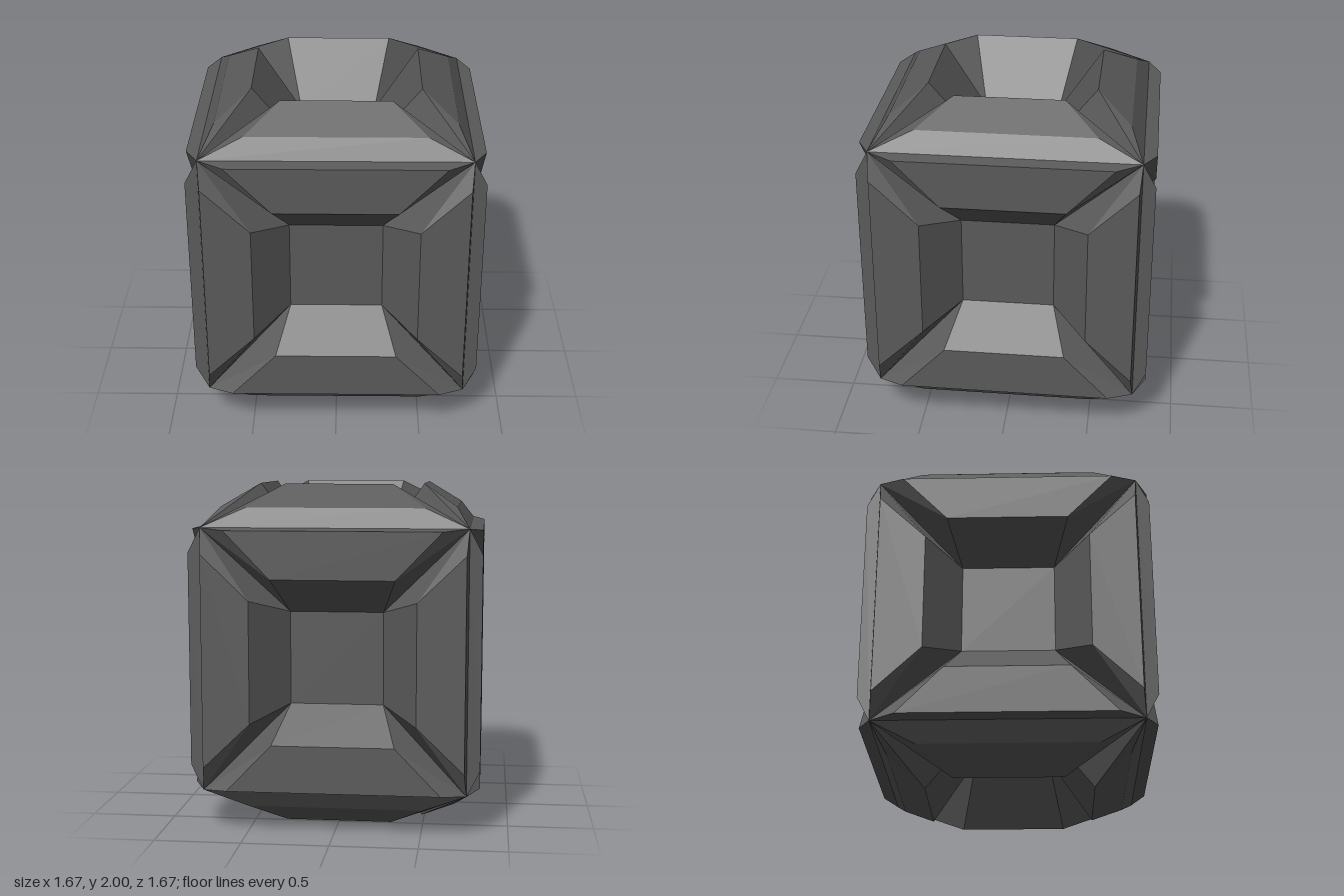
import * as THREE from 'three';

const CORNER = 0.76; // half size of the cube the frames are built on

// Frame profile per face: [half length, offset from face centre, height]
const SIDE = { rim: [0.615, 0.747, 0.835], lip: [0.352, 0.474, 0.835], floor: [0.27, 0.27, 0.593] };
const CAP = { rim: [0.51, 0.685, 0.87], lip: [0.312, 0.485, 1.0], floor: [0.225, 0.225, 0.64] };

const material = new THREE.MeshStandardMaterial({ color: 0x5a5a5a, flatShading: true });

// Flat-shaded mesh from four-cornered facets
function facetMesh(name, quads) {
  const points = quads.flatMap(([a, b, c, d]) => [a, b, c, a, c, d]);
  const geometry = new THREE.BufferGeometry();
  geometry.setAttribute('position', new THREE.Float32BufferAttribute(points.flat(), 3));
  geometry.computeVertexNormals();
  const mesh = new THREE.Mesh(geometry, material);
  mesh.name = name;
  return mesh;
}

// One raised bar along the +y edge of a face that looks towards +z
function frameBar({ rim, lip, floor }) {
  const pair = ([h, v, n]) => [[-h, v, n], [h, v, n]];
  const [cl, cr] = pair([CORNER, CORNER, CORNER]);
  const [rl, rr] = pair(rim);
  const [ll, lr] = pair(lip);
  const [fl, fr] = pair(floor);
  return facetMesh('frameBar', [
    [rl, rr, cr, cl], // outer bevel
    [ll, lr, rr, rl], // bar top
    [fl, fr, lr, ll], // recess wall
    [cr, rr, lr, fr], // mitred ends
    [cl, fl, ll, rl],
  ]);
}

// Four bars around a sunken square panel
function framedFace(name, profile) {
  const face = new THREE.Group();
  face.name = name;
  for (let i = 0; i < 4; i++) {
    const bar = frameBar(profile);
    bar.rotation.z = i * Math.PI / 2;
    face.add(bar);
  }
  const [p, , n] = profile.floor;
  face.add(facetMesh('sunkenPanel', [[[-p, -p, n], [p, -p, n], [p, p, n], [-p, p, n]]]));
  face.position.y = 1;
  return face;
}

export function createModel() {
  const model = new THREE.Group();
  model.name = 'framedCube';

  // Four upright faces
  ['frontFace', 'leftFace', 'backFace', 'rightFace'].forEach((name, i) => {
    const face = framedFace(name, SIDE);
    face.rotation.y = i * Math.PI / 2;
    model.add(face);
  });

  // Taller, sloping frames on the top and bottom
  for (const [name, turn] of [['topFace', -1], ['bottomFace', 1]]) {
    const face = framedFace(name, CAP);
    face.rotation.x = turn * Math.PI / 2;
    model.add(face);
  }
  return model;
}
